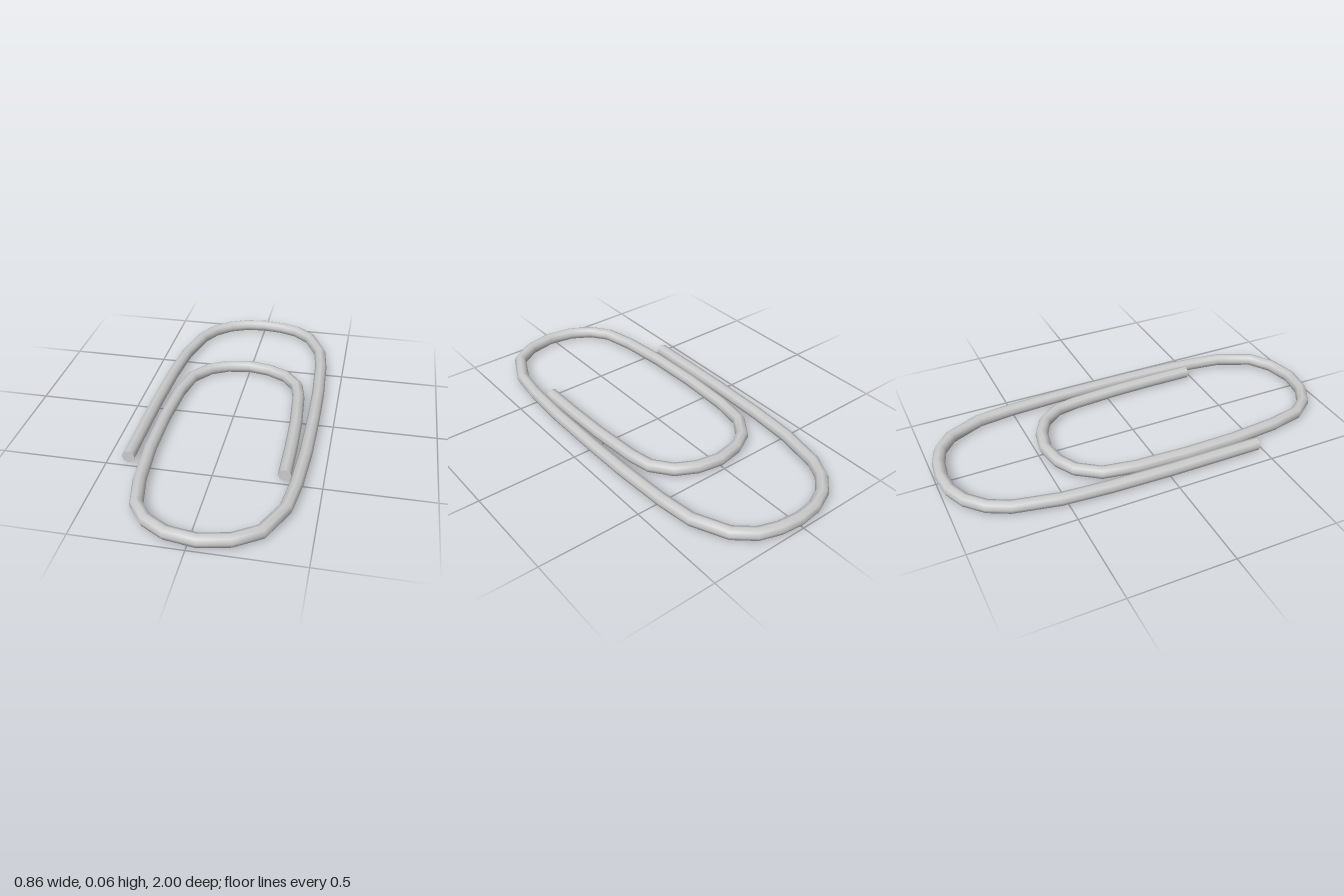
import * as THREE from 'three';

const RADIUS = 0.031;
const SIDES = 8;

// Centreline of the bent wire as [x, z], from the outer end to the inner end
const PATH = [
  [-0.4, 0.475], [-0.4, 0], [-0.392, -0.3], [-0.375, -0.53], [-0.33, -0.745],
  [-0.28, -0.84], [-0.2, -0.915], [-0.105, -0.957], [0, -0.969], [0.105, -0.957],
  [0.2, -0.925], [0.285, -0.852], [0.36, -0.69], [0.382, -0.52], [0.397, -0.24],
  [0.4, 0], [0.398, 0.29], [0.385, 0.53], [0.363, 0.7], [0.285, 0.865],
  [0.175, 0.937], [0.04, 0.965], [-0.095, 0.944], [-0.195, 0.885], [-0.262, 0.797],
  [-0.297, 0.633], [-0.318, 0.396], [-0.322, 0.13], [-0.31, -0.13], [-0.282, -0.29],
  [-0.207, -0.392], [-0.12, -0.44], [0, -0.462], [0.115, -0.44], [0.21, -0.39],
  [0.28, -0.3], [0.302, -0.19], [0.32, 0.05], [0.325, 0.25], [0.325, 0.475],
];

// Curve that places one tube ring on each bend, turned to the bisector
class BentWire extends THREE.Curve {
  constructor(points) {
    super();
    this.points = points;
  }
  index(u) {
    return Math.round(u * (this.points.length - 1));
  }
  getPointAt(u, target = new THREE.Vector3()) {
    return target.copy(this.points[this.index(u)]);
  }
  getTangentAt(u, target = new THREE.Vector3()) {
    const p = this.points, i = this.index(u);
    const here = p[i], before = p[i - 1] ?? here, after = p[i + 1] ?? here;
    const incoming = here.clone().sub(before).normalize();
    return target.copy(after).sub(here).normalize().add(incoming).normalize();
  }
}

export function createModel() {
  const group = new THREE.Group();
  group.name = 'paperClip';
  const material = new THREE.MeshStandardMaterial({ color: 0xcccccc });
  const points = PATH.map(([x, z]) => new THREE.Vector3(x, RADIUS, z));

  // Wire
  const wire = new THREE.Mesh(
    new THREE.TubeGeometry(new BentWire(points), points.length - 1, RADIUS, SIDES), material);
  wire.name = 'wire';
  group.add(wire);

  // Cut ends, both facing the front
  const ends = { outerEnd: points[0], innerEnd: points[points.length - 1] };
  for (const [name, position] of Object.entries(ends)) {
    const cap = new THREE.Mesh(new THREE.CircleGeometry(RADIUS, SIDES), material);
    cap.name = name;
    cap.position.copy(position);
    group.add(cap);
  }
  return group;
}
